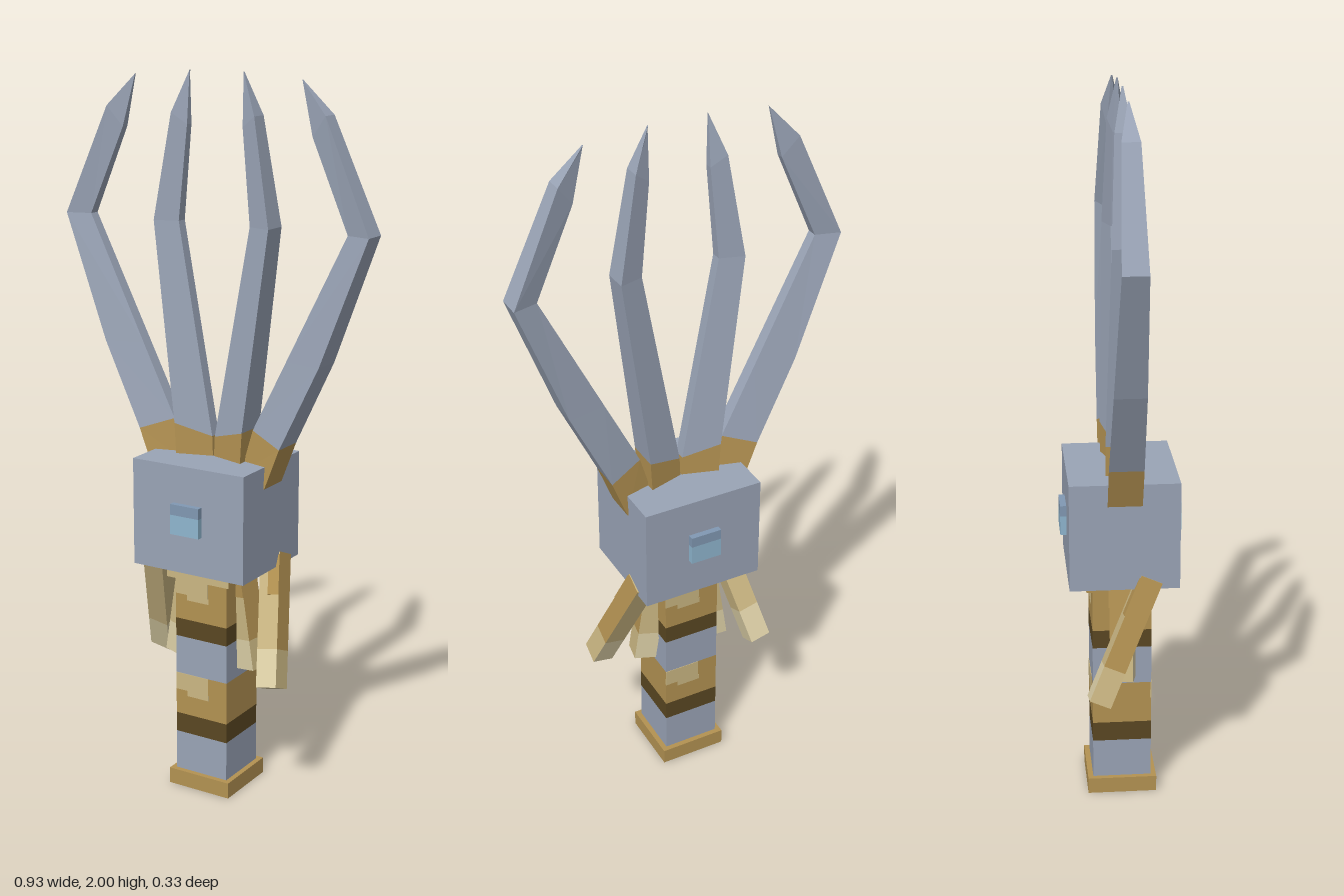
import * as THREE from 'three';

const mat = (name, color) => {
  const m = new THREE.MeshStandardMaterial({ color });
  m.name = name;
  return m;
};

export function createModel() {
  const steel = mat('steel', 0x9aa4b6);
  const gold = mat('gold', 0xb39252);
  const tan = mat('tan', 0xcbb783);
  const cream = mat('cream', 0xdccfa6);
  const dark = mat('darkBrown', 0x5a4722);
  const gemBlue = mat('gemBlue', 0x8fb6cf);
  const gemShade = mat('gemShade', 0x8199b3);
  const model = new THREE.Group();
  model.name = 'prongedStaffHead';

  function box(name, material, w, h, d, x, y, z, parent = model) {
    const m = new THREE.Mesh(new THREE.BoxGeometry(w, h, d), material);
    m.name = name;
    m.position.set(x, y, z);
    parent.add(m);
    return m;
  }
  // Box centred on the axis between two heights
  const slab = (name, material, w, y0, y1, d = w) =>
    box(name, material, w, y1 - y0, d, 0, (y0 + y1) / 2, 0);

  // Handle, stacked in coloured bands
  slab('base', gold, 0.195, 0, 0.046);
  [
    [steel, 0.046, 0.16], [dark, 0.16, 0.217], [gold, 0.217, 0.34],
    [steel, 0.34, 0.451], [dark, 0.451, 0.504], [gold, 0.504, 0.63],
  ].forEach(([m, a, b]) => slab('handleBand', m, 0.165, a, b));
  slab('collar', [gold, gold, gold, gold, tan, tan], 0.2, 0.628, 0.67);

  // Head block
  slab('head', steel, 0.35, 0.668, 0.97, 0.3);

  // Bar hanging between two points: gold outer face above, pale tip below
  function bar(name, top, bottom, width, yaw, parent) {
    const a = new THREE.Vector3(...top), b = new THREE.Vector3(...bottom);
    const len = a.distanceTo(b), upper = len * 0.72;
    const g = new THREE.Group();
    g.name = name;
    g.position.copy(a);
    g.quaternion.setFromUnitVectors(new THREE.Vector3(0, -1, 0), b.sub(a).normalize());
    g.rotateY(yaw);
    box('barUpper', [gold, tan, tan, tan, tan, tan], width, upper, width, 0, -upper / 2, 0, g);
    box('barTip', [tan, cream, cream, cream, cream, cream], width, len - upper, width, 0, -(upper + len) / 2, 0, g);
    // gold shoulder on the front face
    box('barShoulder', gold, width * 0.55, len * 0.3, 0.004, width * 0.225, -len * 0.17, width / 2, g);
    parent.add(g);
  }

  // Details repeated by a half turn around the axis
  for (let i = 0; i < 2; i++) {
    const side = new THREE.Group();
    side.name = i ? 'backDetails' : 'frontDetails';
    side.rotation.y = i * Math.PI;
    model.add(side);
    box('gem', gemBlue, 0.09, 0.055, 0.03, 0, 0.8075, 0.152, side);
    box('gemTop', gemShade, 0.09, 0.03, 0.03, 0, 0.85, 0.152, side);
    for (const y of [0.34, 0.628]) {
      box('wrapHighlight', tan, 0.105, 0.05, 0.004, -0.03, y - 0.025, 0.082, side);
      box('wrapHighlightStep', tan, 0.07, 0.016, 0.004, -0.01, y - 0.058, 0.082, side);
    }
    bar('outerBar', [0.148, 0.69, -0.072], [0.222, 0.356, 0.075], 0.062, 0, side);
    bar('innerBar', [0.07, 0.68, 0], [0.117, 0.372, 0], 0.064, -0.2, side);
  }

  // Prong piece from sections [outerX, outerY, innerX, innerY, outerHalfZ, innerHalfZ]
  function prong(name, material, sections, s) {
    const pos = [], index = [];
    for (const [ox, oy, ix, iy, oz, iz] of sections) {
      pos.push(s * ox, oy, oz, s * ix, iy, iz, s * ix, iy, -iz, s * ox, oy, -oz);
    }
    const tri = (a, b, c) => (s > 0 ? index.push(a, b, c) : index.push(a, c, b));
    const quad = (a, b, c, d) => { tri(a, b, c); tri(a, c, d); };
    const n = sections.length;
    for (let i = 0; i < n - 1; i++) {
      for (let k = 0; k < 4; k++) {
        const a = i * 4 + k, b = i * 4 + (k + 1) % 4;
        quad(b, a, a + 4, b + 4);
      }
    }
    quad(0, 1, 2, 3);
    const e = (n - 1) * 4;
    quad(e + 3, e + 2, e + 1, e);
    const indexed = new THREE.BufferGeometry();
    indexed.setAttribute('position', new THREE.Float32BufferAttribute(pos, 3));
    indexed.setIndex(index);
    const geo = indexed.toNonIndexed();
    geo.computeVertexNormals();
    const m = new THREE.Mesh(geo, material);
    m.name = name;
    model.add(m);
  }

  const outerProng = [
    [0.178, 0.91, 0.09, 0.94, 0.047, 0.02],
    [0.222, 1.025, 0.125, 1.06, 0.047, 0.019],
    [0.335, 1.26, 0.225, 1.26, 0.043, 0.018],
    [0.466, 1.605, 0.397, 1.605, 0.034, 0.015],
    [0.333, 1.9, 0.29, 1.845, 0.024, 0.011],
    [0.254, 1.985, 0.256, 1.978, 0.002, 0.002],
  ];
  const innerProng = [
    [0.1, 0.93, 0, 0.93, 0.047, 0.017],
    [0.107, 1.055, 0.004, 1.025, 0.047, 0.017],
    [0.177, 1.605, 0.11, 1.605, 0.035, 0.015],
    [0.127, 1.89, 0.085, 1.86, 0.024, 0.011],
    [0.082, 2.0, 0.083, 1.99, 0.002, 0.002],
  ];
  for (const s of [1, -1]) {
    for (const [name, p] of [['outerProng', outerProng], ['innerProng', innerProng]]) {
      prong(name + 'Base', gold, p.slice(0, 2), s);
      prong(name, steel, p.slice(1), s);
    }
  }
  return model;
}
